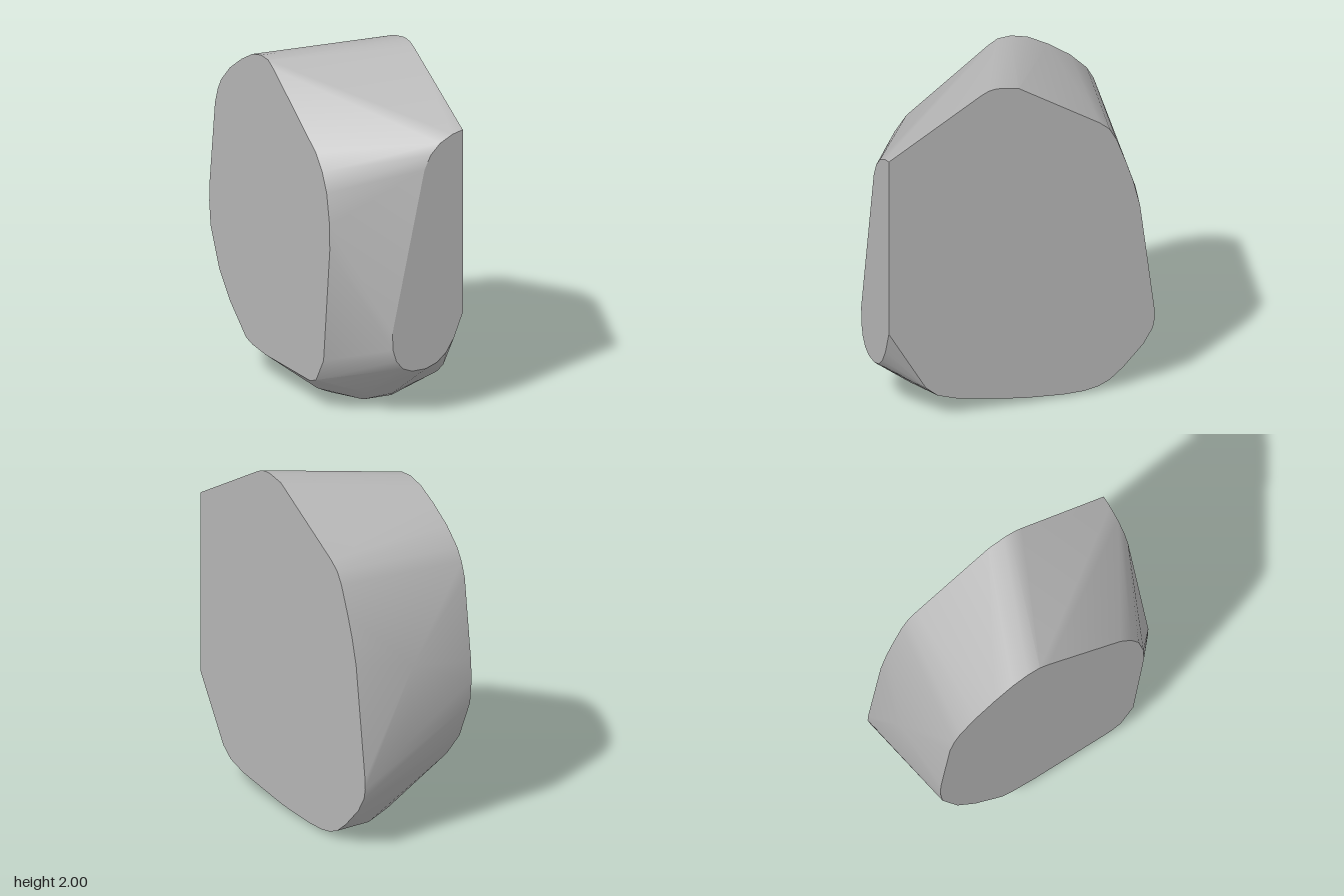
import * as THREE from 'three';
import { ConvexGeometry } from 'three/addons/geometries/ConvexGeometry.js';
import { toCreasedNormals } from 'three/addons/utils/BufferGeometryUtils.js';

const HALF = 0.365; // half width between the two cut sides
const FRONT = 0.79; // front cut plane

// Outline of the large left cut, as [z, y]
const leftCut = [
  [0.79, 1.655], [0.24, 1.975], [0.2, 1.993], [0.16, 2], [0.12, 1.999], [0.02, 1.98],
  [-0.46, 1.68], [-0.52, 1.63], [-0.56, 1.56], [-0.62, 1.4], [-0.66, 1.28], [-0.7, 1.12],
  [-0.785, 0.46], [-0.787, 0.4], [-0.775, 0.34], [-0.72, 0.25], [-0.6, 0.125], [-0.52, 0.06],
  [-0.45, 0.03], [-0.37, 0.016], [-0.25, 0.015], [0, 0.035], [0.38, 0.1], [0.5, 0.14],
  [0.57, 0.2], [0.79, 0.575],
];

// Outline of the smaller right cut, as [z, y]
const rightCut = [
  [0.575, 1.0], [0.573, 1.15], [0.54, 1.33], [0.49, 1.44], [0.42, 1.53], [-0.06, 1.88],
  [-0.12, 1.915], [-0.2, 1.92], [-0.3, 1.895], [-0.42, 1.83], [-0.55, 1.74], [-0.65, 1.64],
  [-0.69, 1.57], [-0.72, 1.48], [-0.78, 1.0], [-0.785, 0.88], [-0.77, 0.74], [-0.67, 0.51],
  [-0.55, 0.36], [-0.37, 0.2], [-0.3, 0.18], [-0.15, 0.165], [0.35, 0.165], [0.42, 0.19],
  [0.505, 0.33],
];

// Outline of the front cut, as [x, y]
const frontCut = [
  [0.3, 1.64], [0.22, 1.6], [0.16, 1.54], [0.12, 1.46], [-0.085, 0.53], [-0.082, 0.43],
  [-0.06, 0.36], [-0.02, 0.31], [0.04, 0.285], [0.13, 0.285], [0.2, 0.31], [0.26, 0.36],
  [0.31, 0.44],
];

// Rounded underside and back, as [x, y, z]
const belly = [
  [0.11, 0, -0.3], [0.2, 0, 0], [0.05, 0.002, 0.3], [-0.05, 0.015, 0.4], [0.1, 0.03, 0.45],
  [0.05, 0.08, 0.55], [-0.1, 0.1, 0.52], [-0.1, 0.018, 0.2], [-0.2, 0.048, 0.28], [-0.3, 0.1, 0.32],
  [-0.1, 0.02, -0.15], [-0.2, 0.06, -0.2], [-0.05, 0.06, -0.42], [0.15, 0.06, -0.52],
  [0.04, 1.07, -0.79], [0.1, 0.6, -0.79],
];

export function createModel() {
  const group = new THREE.Group();
  group.name = 'cutStone';
  const stone = new THREE.MeshStandardMaterial({ color: 0xb4b4b4 });
  stone.name = 'stoneGrey';

  // The body is the convex skin spanning the cuts and the rounded underside
  const points = [
    ...leftCut.map(([z, y]) => new THREE.Vector3(HALF, y, z)),
    ...rightCut.map(([z, y]) => new THREE.Vector3(-HALF, y, z)),
    ...frontCut.map(([x, y]) => new THREE.Vector3(x, y, FRONT)),
    ...belly.map((p) => new THREE.Vector3(...p)),
  ];
  const body = new THREE.Mesh(toCreasedNormals(new ConvexGeometry(points), 0.4), stone);
  body.name = 'stoneBody';
  group.add(body);
  return group;
}
